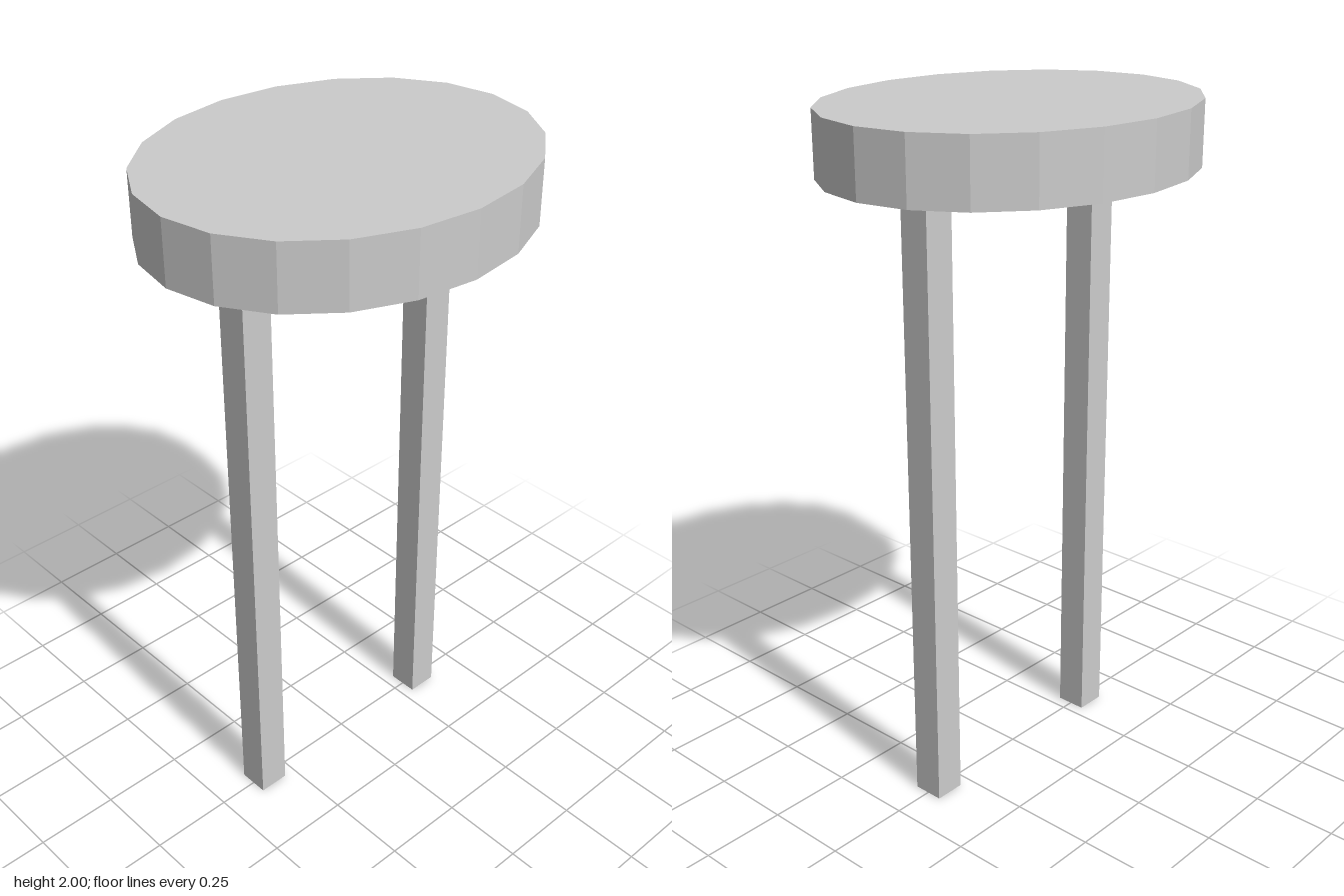
import * as THREE from 'three';

export function createModel() {
  const group = new THREE.Group();
  const material = new THREE.MeshStandardMaterial({ color: 0xcccccc, flatShading: true });
  const height = 2, topThickness = 0.185, legWidth = 0.092;
  const legHeight = height - topThickness;

  // Oval faceted top
  const topGeometry = new THREE.CylinderGeometry(1, 1, topThickness, 20);
  topGeometry.scale(0.571, 1, 0.475);
  const top = new THREE.Mesh(topGeometry, material);
  top.name = 'ovalTop';
  top.position.y = height - topThickness / 2;
  group.add(top);

  // Two square legs
  const legGeometry = new THREE.BoxGeometry(legWidth, legHeight, legWidth);
  for (const side of [-1, 1]) {
    const leg = new THREE.Mesh(legGeometry, material);
    leg.name = side > 0 ? 'leftLeg' : 'rightLeg';
    leg.position.set(side * 0.333, legHeight / 2, 0);
    group.add(leg);
  }
  return group;
}
